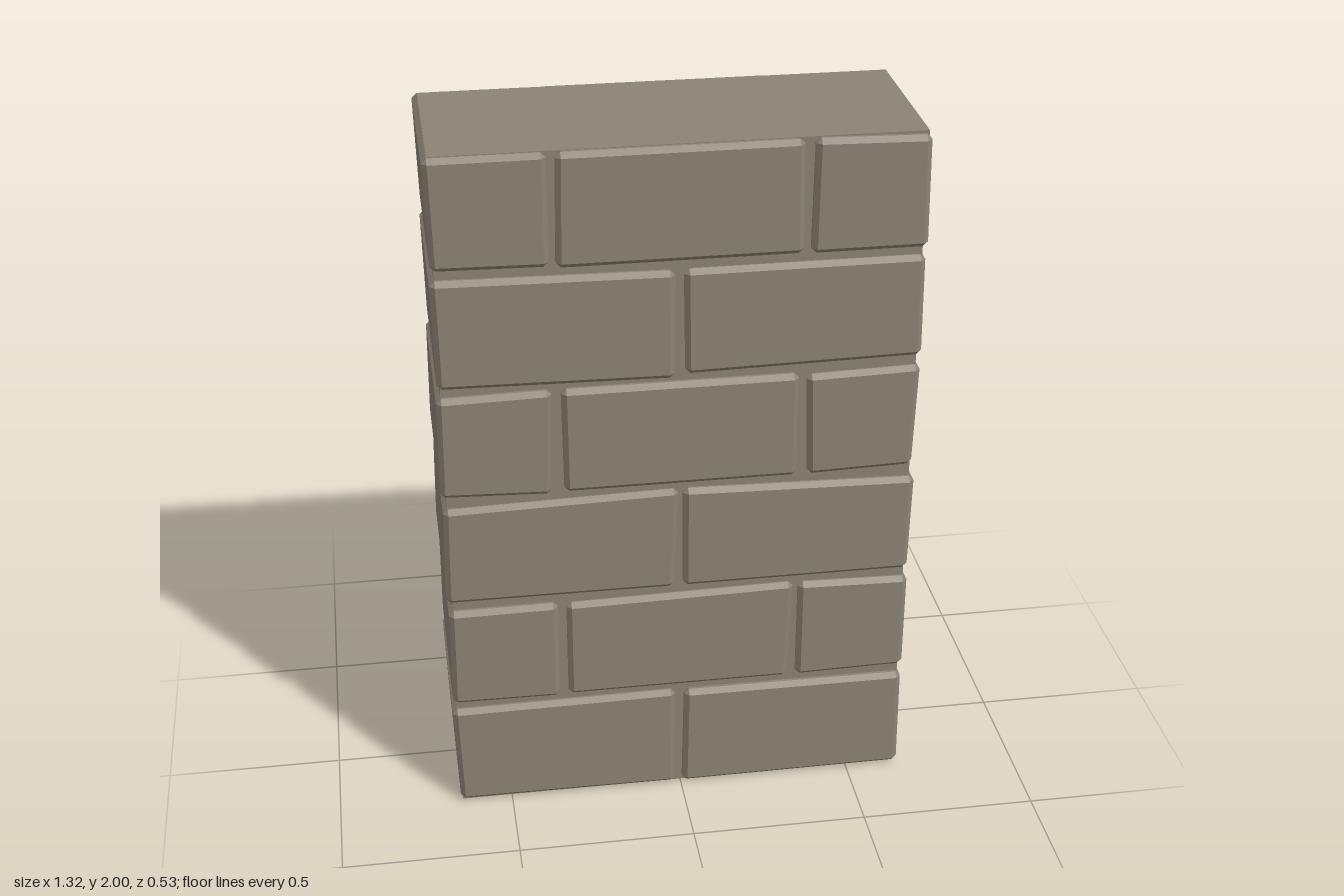
import * as THREE from 'three';
import { ConvexGeometry } from 'three/addons/geometries/ConvexGeometry.js';

const BEVEL = 0.014;

// Each brick: [x left bottom, x left top, x right bottom, x right top,
//              y bottom left, y bottom right, y top left, y top right]
const courses = [
  [
    [-0.65, -0.66, -0.018, -0.016, 0.008, 0.004, 0.325, 0.33],
    [0.005, 0.01, 0.655, 0.652, 0.004, 0.006, 0.327, 0.325],
  ],
  [
    [-0.657, -0.655, -0.35, -0.35, 0.35, 0.347, 0.658, 0.66],
    [-0.325, -0.325, 0.312, 0.322, 0.347, 0.347, 0.655, 0.665],
    [0.337, 0.337, 0.655, 0.655, 0.347, 0.352, 0.662, 0.655],
  ],
  [
    [-0.66, -0.655, -0.018, -0.008, 0.685, 0.683, 0.985, 0.998],
    [0.005, 0.005, 0.652, 0.657, 0.685, 0.685, 0.998, 0.983],
  ],
  [
    [-0.66, -0.657, -0.357, -0.35, 1.025, 1.015, 1.325, 1.33],
    [-0.322, -0.325, 0.32, 0.32, 1.018, 1.018, 1.33, 1.33],
    [0.352, 0.342, 0.647, 0.655, 1.015, 1.022, 1.323, 1.33],
  ],
  [
    [-0.652, -0.657, -0.018, -0.018, 1.352, 1.342, 1.664, 1.655],
    [0.01, 0.006, 0.656, 0.652, 1.35, 1.36, 1.655, 1.655],
  ],
  [
    [-0.653, -0.66, -0.347, -0.347, 1.69, 1.685, 1.998, 1.998],
    [-0.33, -0.325, 0.322, 0.317, 1.682, 1.682, 1.998, 1.998],
    [0.342, 0.345, 0.655, 0.65, 1.68, 1.68, 1.998, 1.992],
  ],
];

// Slightly skewed block: each corner becomes three points so every edge is bevelled
function brickGeometry([xlb, xlt, xrb, xrt, ybl, ybr, ytl, ytr], front, back) {
  const points = [];
  const outline = [
    [xlb, ybl, 1, 1], [xrb, ybr, -1, 1],
    [xrt, ytr, -1, -1], [xlt, ytl, 1, -1],
  ];
  for (const [x, y, sx, sy] of outline) {
    for (const [z, sz] of [[front, -1], [back, 1]]) {
      const dx = sx * BEVEL, dy = sy * BEVEL, dz = sz * BEVEL;
      points.push(
        new THREE.Vector3(x, y + dy, z + dz),
        new THREE.Vector3(x + dx, y, z + dz),
        new THREE.Vector3(x + dx, y + dy, z),
      );
    }
  }
  return new ConvexGeometry(points);
}

export function createModel() {
  const model = new THREE.Group();
  model.name = 'brickPillar';
  const stone = new THREE.MeshStandardMaterial({ color: 0x8c8375 });
  stone.name = 'warmGreyStone';

  // Mortar core, recessed behind the brick faces
  const core = new THREE.Mesh(new THREE.BoxGeometry(1.288, 2, 0.48), stone);
  core.name = 'mortarCore';
  core.position.y = 1;
  model.add(core);

  // Running-bond courses, with small shifts in depth from brick to brick
  courses.forEach((bricks, row) => {
    const course = new THREE.Group();
    course.name = `course${row + 1}`;
    bricks.forEach((corners, i) => {
      const front = 0.26 + 0.003 * Math.sin(row * 2.3 + i * 1.7);
      const back = -0.26 + 0.004 * Math.sin(row * 1.9 + i * 2.6);
      const brick = new THREE.Mesh(brickGeometry(corners, front, back), stone);
      brick.name = `brick${row + 1}_${i + 1}`;
      course.add(brick);
    });
    model.add(course);
  });
  return model;
}
